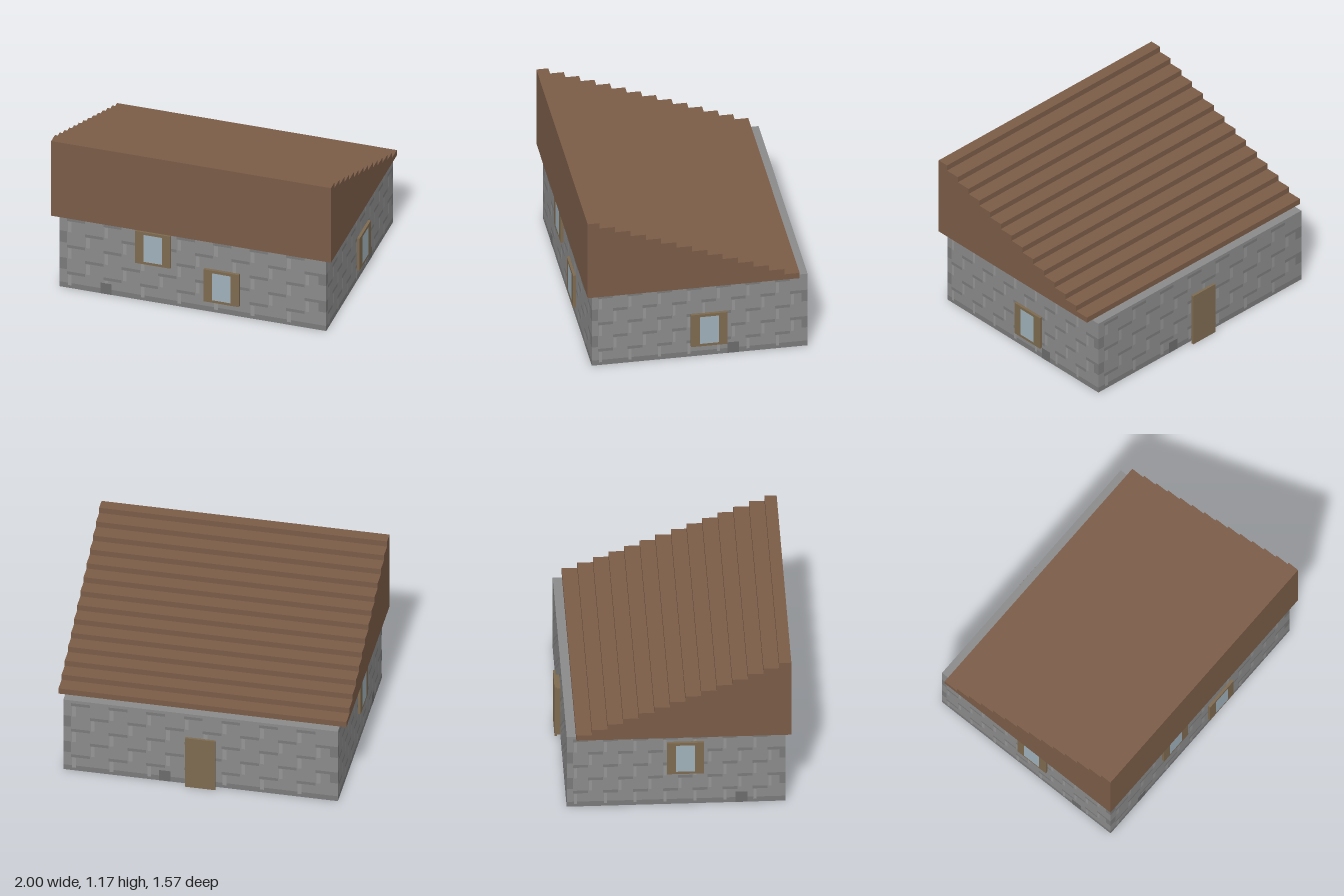
import * as THREE from 'three';
import { mergeGeometries } from 'three/addons/utils/BufferGeometryUtils.js';

const mat = (color) => new THREE.MeshStandardMaterial({ color });
const stone = mat(0x8a8a8a), darkStone = mat(0x7a7a7a), lightStone = mat(0x959595), patchStone = mat(0x6c6c6c);
const wood = mat(0x7d6a50), glass = mat(0x9fb0ba), roofWood = mat(0x7a5c47);

const W = 1.906, D = 1.49, H = 0.576;

function add(parent, name, geometry, material, x = 0, y = 0, z = 0) {
  const mesh = new THREE.Mesh(geometry, material);
  mesh.name = name;
  mesh.position.set(x, y, z);
  parent.add(mesh);
  return mesh;
}

// Flat rectangle just in front of a wall
const tile = (x0, x1, y0, y1) =>
  new THREE.PlaneGeometry(x1 - x0, y1 - y0).translate((x0 + x1) / 2, (y0 + y1) / 2, 0);

// Stone courses: dark staggered joints, light upright joints and corner blocks
function masonry(face, width) {
  const dark = [tile(-width / 2, width / 2, 0, 0.04)], light = [];
  const period = width * 0.137, course = 0.106, edge = width / 2 - width * 0.028;
  for (let row = 0; row < 5; row++) {
    const y = 0.12 + row * course;
    const shift = row % 2 ? period / 2 : 0;
    for (let x = -edge + shift; x < edge - 0.02; x += period) {
      dark.push(tile(x, Math.min(x + period * 0.5, edge), y - 0.012, y + 0.01));
      const lx = x + period * 0.03;
      light.push(tile(lx, lx + period * 0.1, y - 0.098, y - 0.015));
    }
    if (row % 2) {
      for (const s of [-1, 1]) {
        const a = s * edge, b = s * width / 2;
        dark.push(tile(Math.min(a, b), Math.max(a, b), y - 0.08, y + 0.01));
      }
    }
  }
  add(face, 'darkJoints', mergeGeometries(dark), darkStone, 0, 0, 0.0008);
  add(face, 'lightJoints', mergeGeometries(light), lightStone, 0, 0, 0.0012);
}

// Square wooden frame with a narrow pane
function addWindow(face, x, y) {
  const group = new THREE.Group();
  group.name = 'window';
  group.position.set(x, y, 0);
  add(group, 'windowFrame', new THREE.BoxGeometry(0.252, 0.255, 0.02), wood, 0, 0, 0.01);
  add(group, 'windowPane', new THREE.PlaneGeometry(0.13, 0.215), glass, 0, 0, 0.021);
  face.add(group);
}

export function createModel() {
  const house = new THREE.Group();
  house.name = 'house';
  add(house, 'walls', new THREE.BoxGeometry(W, H, D), stone, 0, H / 2, 0);

  // Each wall face has its own outward frame: x to the right, z outward
  const faces = [
    { name: 'frontWall', turn: 0, width: W, out: D / 2, patch: -0.62, windows: [[-0.28, 0.428], [0.21, 0.213]] },
    { name: 'leftWall', turn: Math.PI / 2, width: D, out: W / 2, patch: 0.23, windows: [[0.063, 0.213]] },
    { name: 'backWall', turn: Math.PI, width: W, out: D / 2, patch: -0.25, windows: [] },
    { name: 'rightWall', turn: -Math.PI / 2, width: D, out: W / 2, patch: 0.445, windows: [[0.063, 0.385]] },
  ];
  for (const f of faces) {
    const face = new THREE.Group();
    face.name = f.name;
    face.rotation.y = f.turn;
    face.position.set(Math.sin(f.turn) * f.out, 0, Math.cos(f.turn) * f.out);
    masonry(face, f.width);
    add(face, 'darkBlock', new THREE.PlaneGeometry(0.08, 0.085), patchStone, f.patch, 0.0425, 0.0016);
    for (const [x, y] of f.windows) addWindow(face, x, y);
    // Door with a slightly larger outer slab
    if (f.name === 'backWall') {
      add(face, 'doorFrame', new THREE.BoxGeometry(0.17, 0.38, 0.025), wood, 0.005, 0.19, 0.0125);
      add(face, 'door', new THREE.BoxGeometry(0.21, 0.402, 0.016), wood, 0.005, 0.201, 0.033);
    }
    house.add(face);
  }

  // Stepped single-slope roof, highest at the front
  const steps = 14, run = 0.1063, rise = (1.172 - H) / steps, back = -0.682, front = 0.783;
  const profile = new THREE.Shape();
  profile.moveTo(front, H);
  for (let i = steps; i > 0; i--) {
    const y = H + i * rise;
    profile.lineTo(i === steps ? front : back + i * run, y);
    profile.lineTo(back + (i - 1) * run, y);
  }
  profile.lineTo(back, H);
  const roofGeometry = new THREE.ExtrudeGeometry(profile, { depth: 2, bevelEnabled: false });
  roofGeometry.translate(0, 0, -1).rotateY(-Math.PI / 2);
  add(house, 'steppedRoof', roofGeometry, roofWood);

  return house;
}
